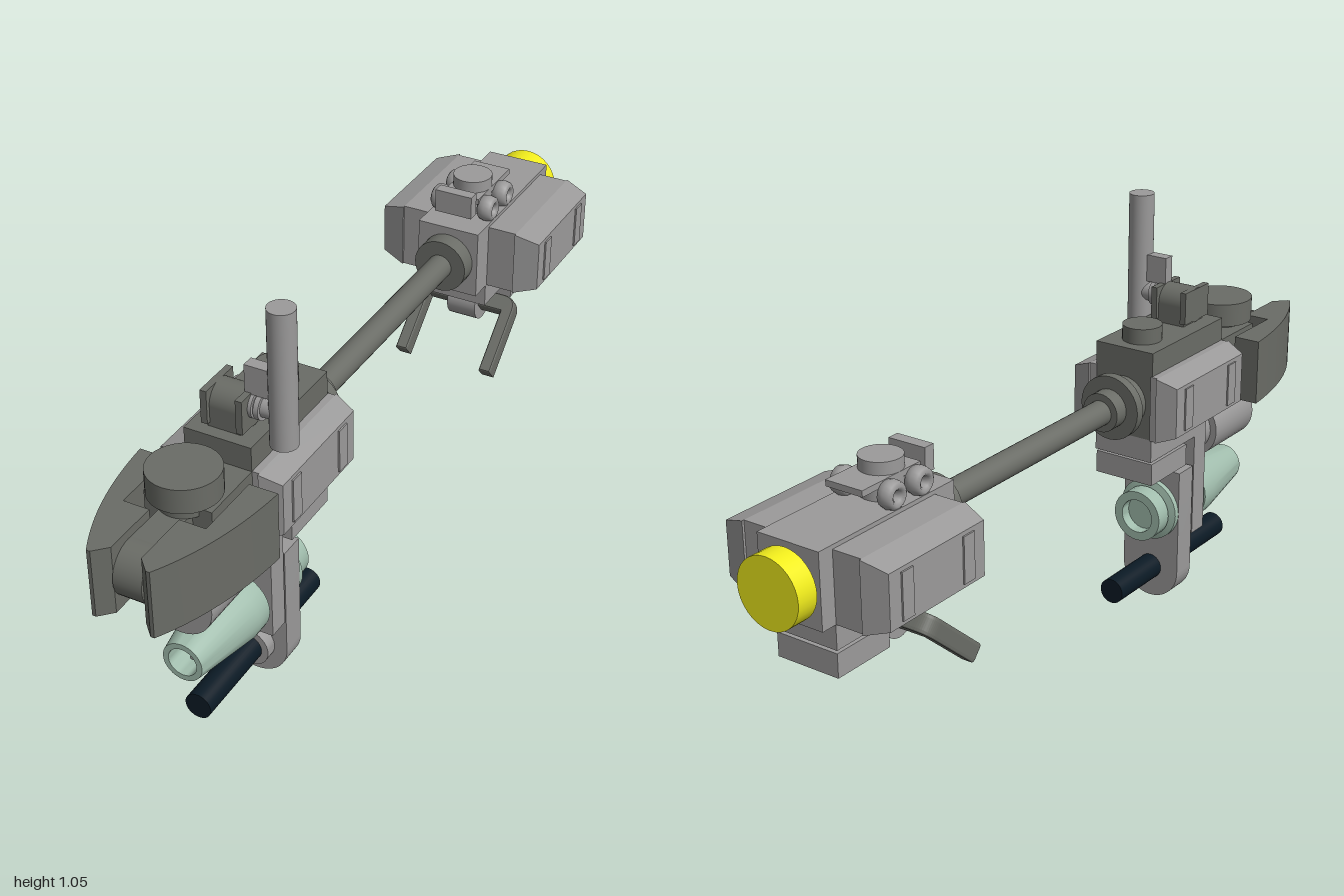
import * as THREE from 'three';
import { toCreasedNormals } from 'three/addons/utils/BufferGeometryUtils.js';

const mat = (color) => new THREE.MeshStandardMaterial({ color, side: THREE.DoubleSide });
const V = (x, y) => new THREE.Vector2(x, y);

export function createModel() {
  const root = new THREE.Group();
  const grey = mat(0x9b9a9a), dark = mat(0x6a6c66), green = mat(0xa0bcac);
  const navy = mat(0x0b1a25), yellow = mat(0xf0ec1c);

  const add = (name, geo, m, parent = root) => {
    const mesh = new THREE.Mesh(geo, m);
    mesh.name = name;
    parent.add(mesh);
    return mesh;
  };
  const group = (name) => {
    const g = new THREE.Group();
    g.name = name;
    root.add(g);
    return g;
  };
  // Box from its limits on each axis
  const box = (name, m, x0, x1, y0, y1, z0, z1, parent) => add(name,
    new THREE.BoxGeometry(x1 - x0, y1 - y0, z1 - z0)
      .translate((x0 + x1) / 2, (y0 + y1) / 2, (z0 + z1) / 2), m, parent);
  // Cylinder along an axis, from a to b, at the other two coordinates
  const cyl = (name, m, axis, r, a, b, u, v, parent) => {
    const g = new THREE.CylinderGeometry(r, r, b - a, 32);
    const c = (a + b) / 2;
    if (axis === 'x') g.rotateZ(Math.PI / 2).translate(c, u, v);
    if (axis === 'y') g.translate(u, c, v);
    if (axis === 'z') g.rotateX(Math.PI / 2).translate(u, v, c);
    return add(name, g, m, parent);
  };
  // Turned part along z from [radius, z] pairs
  const turned = (name, m, y, pts, parent) => add(name, toCreasedNormals(
    new THREE.LatheGeometry(pts.map(([r, z]) => V(r, z)), 32).rotateX(Math.PI / 2), 0.5)
    .translate(0, y, 0), m, parent);
  // Side panel: tapered block with two ribs on its outer face
  const sidePanel = (s, xIn, xMid, xOut, z0, z1) => {
    const g = group('sidePanel');
    const w = xOut - xMid;
    const geo = new THREE.BoxGeometry(w, 0.17, z1 - z0).toNonIndexed();
    const p = geo.attributes.position;
    for (let i = 0; i < p.count; i++) {
      if (p.getX(i) * s > 0) {
        p.setY(i, p.getY(i) - Math.sign(p.getY(i)) * 0.02);
        p.setZ(i, p.getZ(i) - Math.sign(p.getZ(i)) * 0.015);
      }
    }
    geo.computeVertexNormals();
    geo.translate(s * (xMid + xOut) / 2, 0.595, (z0 + z1) / 2);
    add('panelShell', geo, grey, g);
    const [a, b] = [s * xIn, s * xMid].sort((m, n) => m - n);
    box('panelBase', grey, a, b, 0.51, 0.68, z0 + 0.006, z1 - 0.006, g);
    for (const z of [z0 + 0.07, z1 - 0.07]) {
      box('panelRib', grey, s * xOut - 0.004, s * xOut + 0.004, 0.54, 0.65, z - 0.018, z + 0.018, g);
    }
  };

  // Front hull
  box('frontHull', dark, -0.083, 0.083, 0.51, 0.68, 0.29, 0.63);
  box('noseBase', dark, -0.083, 0.083, 0.57, 0.68, 0.63, 0.78);
  box('frontTopPlate', dark, -0.083, 0.083, 0.68, 0.74, 0.29, 0.62);
  cyl('frontStud', dark, 'y', 0.05, 0.74, 0.78, 0, 0.37);
  cyl('noseDisc', dark, 'y', 0.083, 0.69, 0.75, 0, 0.75);
  cyl('noseDiscFoot', dark, 'y', 0.06, 0.66, 0.69, 0, 0.75);
  cyl('noseRoller', dark, 'x', 0.066, -0.035, 0.035, 0.595, 0.91);
  box('noseRollerMount', dark, -0.035, 0.035, 0.53, 0.66, 0.76, 0.91);

  // Curved nose wings
  for (const s of [-1, 1]) {
    const shape = new THREE.Shape();
    shape.moveTo(s * 0.1, -0.66);
    shape.lineTo(s * 0.17, -0.66);
    shape.quadraticCurveTo(s * 0.155, -0.86, s * 0.075, -1);
    shape.lineTo(s * 0.066, -1);
    shape.lineTo(s * 0.036, -0.97);
    shape.lineTo(s * 0.036, -0.83);
    shape.lineTo(s * 0.1, -0.83);
    shape.closePath();
    add('noseWing', toCreasedNormals(new THREE.ExtrudeGeometry(shape,
      { depth: 0.17, bevelEnabled: false, curveSegments: 16 })
      .rotateX(-Math.PI / 2).translate(0, 0.51, 0), 0.4), dark);
    sidePanel(s, 0.08, 0.1, 0.152, 0.28, 0.625);
    sidePanel(s, 0.08, 0.158, 0.22, -0.9, -0.56);
  }

  // Connecting rod and its sockets
  cyl('rod', dark, 'z', 0.032, -0.5, 0.25, 0, 0.6);
  cyl('frontSocket', dark, 'z', 0.065, 0.25, 0.3, 0, 0.6);
  cyl('frontFlange', dark, 'z', 0.083, 0.225, 0.25, 0, 0.6);
  cyl('frontCollar', dark, 'z', 0.05, 0.185, 0.23, 0, 0.6);
  cyl('rearSocket', dark, 'z', 0.07, -0.51, -0.455, 0, 0.6);

  // Rear hull
  box('rearHull', grey, -0.083, 0.083, 0.51, 0.69, -0.935, -0.5);
  cyl('rearLamp', yellow, 'z', 0.083, -1, -0.945, 0, 0.6);
  cyl('lampNeck', yellow, 'z', 0.06, -0.95, -0.93, 0, 0.6);
  box('rearLowerPlate', grey, -0.083, 0.083, 0.45, 0.51, -0.895, -0.56);
  box('rearFoot', grey, -0.083, 0.083, 0.385, 0.443, -0.895, -0.73);
  box('rearFootJoint', grey, -0.06, 0.06, 0.44, 0.452, -0.88, -0.745);

  // Rear top fitting
  const fitting = group('rearTopFitting');
  cyl('fittingStud', grey, 'y', 0.05, 0.68, 0.78, 0, -0.64, fitting);
  box('fittingPlate', grey, -0.05, 0.05, 0.735, 0.75, -0.76, -0.57, fitting);
  box('fittingHook', grey, -0.05, 0.05, 0.715, 0.775, -0.555, -0.525, fitting);
  for (const s of [-1, 1]) {
    for (const z of [-0.595, -0.685]) {
      const ring = new THREE.TorusGeometry(0.022, 0.012, 8, 20);
      ring.rotateY(Math.PI / 2).scale(1.8, 1, 1).translate(s * 0.065, 0.718, z);
      add('fittingRing', ring, grey, fitting);
    }
  }

  // Clip and forked handle under the rear hull
  cyl('handleClip', grey, 'x', 0.052, -0.04, 0.04, 0.41, -0.645);
  box('handleClipMount', grey, -0.04, 0.04, 0.41, 0.46, -0.69, -0.6);
  const fork = new THREE.Shape();
  fork.moveTo(-0.135, -0.19);
  fork.lineTo(-0.135, -0.015);
  fork.quadraticCurveTo(-0.135, 0.02, -0.1, 0.02);
  fork.lineTo(0.1, 0.02);
  fork.quadraticCurveTo(0.135, 0.02, 0.135, -0.015);
  fork.lineTo(0.135, -0.19);
  fork.lineTo(0.108, -0.19);
  fork.lineTo(0.108, -0.02);
  fork.lineTo(-0.108, -0.02);
  fork.lineTo(-0.108, -0.19);
  const handle = add('forkHandle', new THREE.ExtrudeGeometry(fork,
    { depth: 0.03, bevelEnabled: true, bevelSize: 0.003, bevelThickness: 0.008, bevelSegments: 2 })
    .translate(0, 0, -0.015), dark);
  handle.position.set(0, 0.41, -0.645);
  handle.rotation.x = -0.85;

  // Mounting plates under the front hull
  box('frontLowerPlate', grey, -0.083, 0.083, 0.45, 0.51, 0.29, 0.5);
  box('frontFoot', grey, -0.083, 0.083, 0.385, 0.443, 0.295, 0.46);
  box('frontFootJoint', grey, -0.06, 0.06, 0.44, 0.452, 0.31, 0.445);
  box('upperBracket', grey, -0.083, 0.083, 0.175, 0.51, 0.5, 0.555);
  const plate = new THREE.Shape();
  plate.moveTo(0.083, 0.37);
  plate.lineTo(-0.083, 0.37);
  plate.lineTo(-0.083, 0.083);
  plate.absarc(0, 0.083, 0.083, Math.PI, Math.PI * 2, false);
  plate.closePath();
  add('lowerBracket', toCreasedNormals(new THREE.ExtrudeGeometry(plate,
    { depth: 0.065, bevelEnabled: false, curveSegments: 24 }).translate(0, 0, 0.43), 0.4), grey);
  box('bracketJoint', grey, -0.06, 0.06, 0.19, 0.36, 0.49, 0.505);

  // Upper barrel, open at the front
  turned('upperBarrel', grey, 0.425, [[0, 0.55], [0.05, 0.55], [0.05, 0.56], [0.065, 0.56],
    [0.065, 0.61], [0.083, 0.61], [0.083, 0.8], [0.05, 0.8], [0.05, 0.74], [0.035, 0.74],
    [0.035, 0.7], [0, 0.7]]);

  // Flared nozzle in front of the bracket and cup behind it
  turned('nozzle', green, 0.255, [[0, 0.55], [0.065, 0.55], [0.065, 0.565], [0.083, 0.565],
    [0.083, 0.61], [0.05, 0.8], [0.036, 0.8], [0.036, 0.72], [0, 0.72]]);
  const cross = group('nozzleCross');
  box('crossBar', grey, -0.034, 0.034, 0.243, 0.267, 0.7, 0.75, cross);
  box('crossPost', grey, -0.012, 0.012, 0.221, 0.289, 0.7, 0.75, cross);
  turned('rearCup', green, 0.255, [[0, 0.39], [0.045, 0.39], [0.045, 0.36], [0.068, 0.36],
    [0.068, 0.405], [0.06, 0.41], [0.083, 0.415], [0.083, 0.43], [0, 0.43]]);

  // Long bar through the lower bracket
  cyl('longBar', navy, 'z', 0.033, 0.245, 0.75, 0, 0.085);
  turned('barRing', grey, 0.085, [[0.033, 0.49], [0.05, 0.49], [0.05, 0.525], [0.033, 0.525]]);

  // Clip and upright mast on top
  const mast = group('mast');
  cyl('clipBarrel', dark, 'x', 0.045, -0.05, 0.05, 0.79, 0.545, mast);
  box('clipBase', dark, -0.04, 0.04, 0.735, 0.79, 0.5, 0.59, mast);
  for (const x of [-0.043, 0.043]) {
    box('clipJaw', dark, x - 0.008, x + 0.008, 0.75, 0.833, 0.49, 0.6, mast);
  }
  cyl('mastPin', grey, 'x', 0.025, 0.04, 0.11, 0.8, 0.545, mast);
  for (const x of [0.053, 0.07]) cyl('pinCollar', grey, 'x', 0.033, x - 0.006, x + 0.006, 0.8, 0.545, mast);
  box('mastTab', grey, 0.035, 0.1, 0.83, 0.9, 0.53, 0.56, mast);
  cyl('mastPole', grey, 'y', 0.032, 0.717, 1.055, 0.12, 0.545, mast);

  return root;
}
